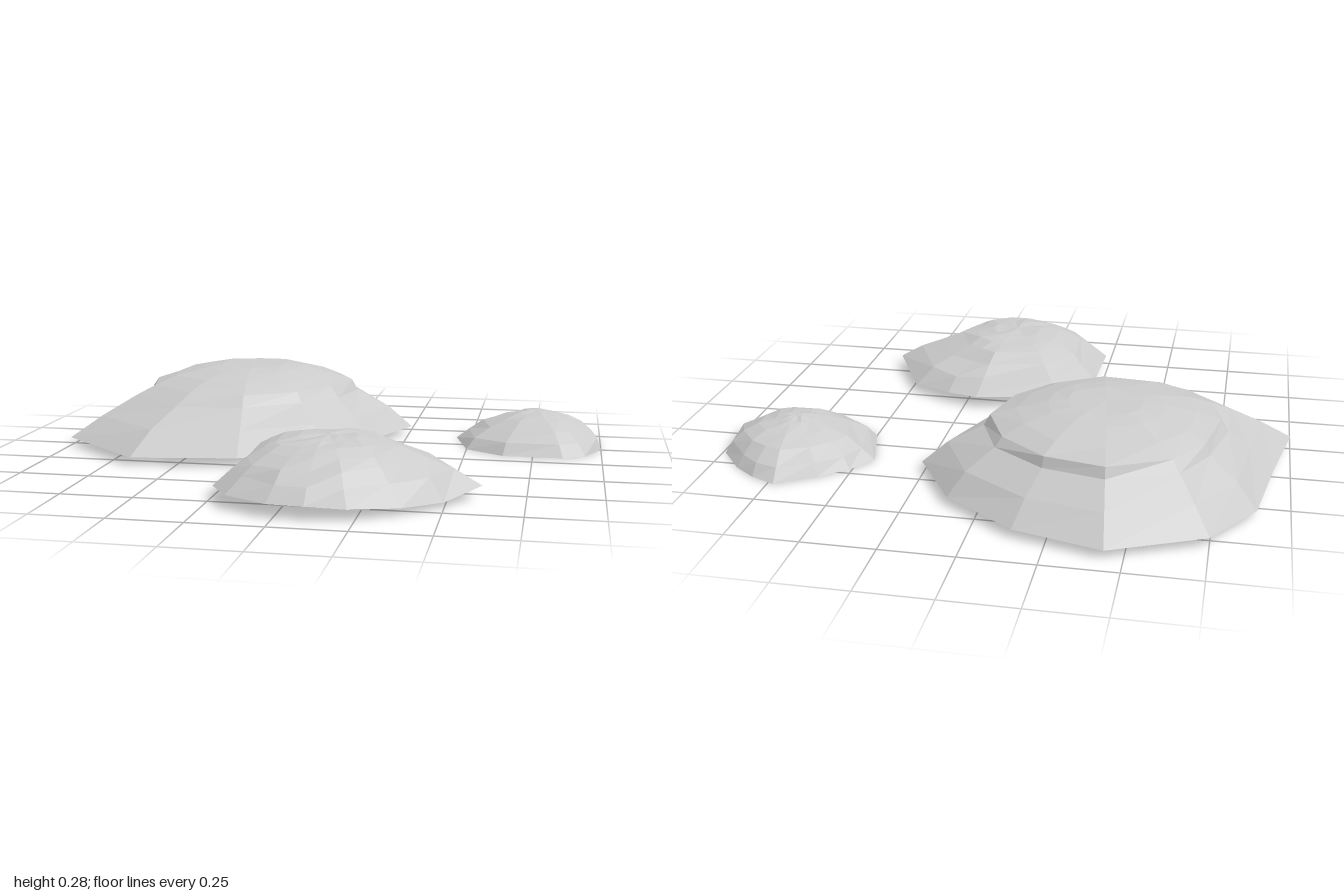
import * as THREE from 'three';

const material = new THREE.MeshStandardMaterial({ color: 0xcccccc, flatShading: true });

// Small repeatable noise in -1..1
function makeNoise(seed) {
  let s = seed;
  return () => {
    s = (s * 16807) % 2147483647;
    return (s / 2147483647) * 2 - 1;
  };
}

// A mound: an irregular base outline, then rings shrinking towards a top point.
// outline: [x, z, optional y]; rings: [radius, height, share of the outline shape]
function mound({ name, centre, baseY, topY, baseMidY, outline, rings, rough, seed }) {
  const noise = makeNoise(seed);
  const [cx, cz] = centre;
  const n = outline.length;
  const loops = [outline.map(([x, z, y = baseY]) => new THREE.Vector3(x, y, z))];

  for (const [radius, height, share] of rings) {
    loops.push(outline.map(([x, z]) => {
      const dx = x - cx, dz = z - cz, full = Math.hypot(dx, dz);
      const r = (radius * (1 - share) + full * share) * (1 + rough * noise());
      const y = Math.min(topY, height + rough * 0.1 * noise());
      return new THREE.Vector3(cx + (dx / full) * r, y, cz + (dz / full) * r);
    }));
  }

  const points = [];
  const top = new THREE.Vector3(cx, topY, cz);
  const under = new THREE.Vector3(cx, baseMidY, cz);
  for (let i = 0; i < n; i++) {
    const j = (i + 1) % n;
    // Sloping bands
    for (let k = 0; k < loops.length - 1; k++) {
      const a = loops[k], b = loops[k + 1];
      points.push(a[j], a[i], b[i], a[j], b[i], b[j]);
    }
    // Crown and underside
    const last = loops[loops.length - 1];
    points.push(last[j], last[i], top);
    points.push(loops[0][i], loops[0][j], under);
  }

  const geometry = new THREE.BufferGeometry().setFromPoints(points);
  geometry.computeVertexNormals();
  const mesh = new THREE.Mesh(geometry, material);
  mesh.name = name;
  return mesh;
}

export function createModel() {
  const group = new THREE.Group();
  group.name = 'mounds';

  // Large mound with a flat crown
  group.add(mound({
    name: 'largeMound',
    centre: [-0.37, -0.35], baseY: 0.03, topY: 0.28, baseMidY: 0.03,
    outline: [
      [-0.44, -0.93], [-0.14, -0.85], [0.11, -0.67], [0.26, -0.42],
      [0.14, -0.13], [0, 0.08], [-0.28, 0.27], [-0.66, 0.33],
      [-1, 0.04], [-0.94, -0.27], [-0.89, -0.58], [-0.75, -0.79],
    ],
    rings: [
      [0.28, 0.11, 0.74], [0.28, 0.178, 0.42], [0.35, 0.215, 0.12],
      [0.29, 0.245, 0.05], [0.2, 0.27, 0], [0.13, 0.28, 0],
    ],
    rough: 0.03, seed: 11,
  }));

  // Middle mound with a slightly warped rim
  group.add(mound({
    name: 'middleMound',
    centre: [0.11, 0.57], baseY: 0.045, topY: 0.198, baseMidY: 0.035,
    outline: [
      [0.2, 0.16], [0.32, 0.2, 0.04], [0.47, 0.28, 0.03], [0.61, 0.56, 0.045],
      [0.5, 0.69, 0.018], [0.38, 0.81, 0.025], [0.23, 0.91, 0.04], [0.1, 0.92],
      [-0.02, 0.91], [-0.17, 0.83], [-0.24, 0.72], [-0.23, 0.42], [-0.11, 0.22],
    ],
    rings: [
      [0.2, 0.095, 0.72], [0.2, 0.132, 0.4], [0.2, 0.165, 0.12],
      [0.16, 0.183, 0.05], [0.1, 0.194, 0], [0.05, 0.196, 0],
    ],
    rough: 0.05, seed: 29,
  }));

  // Small rounded mound
  group.add(mound({
    name: 'smallMound',
    centre: [0.75, -0.33], baseY: 0, topY: 0.132, baseMidY: 0,
    outline: [
      [0.73, -0.63], [0.82, -0.59], [0.9, -0.53], [0.99, -0.42],
      [1, -0.25], [0.94, -0.13], [0.86, -0.08], [0.64, -0.08],
      [0.5, -0.17], [0.445, -0.38], [0.51, -0.47], [0.6, -0.55],
    ],
    rings: [
      [0.18, 0.042, 0.7], [0.15, 0.08, 0.3], [0.115, 0.105, 0.1],
      [0.07, 0.122, 0], [0.03, 0.13, 0],
    ],
    rough: 0.04, seed: 47,
  }));

  return group;
}
